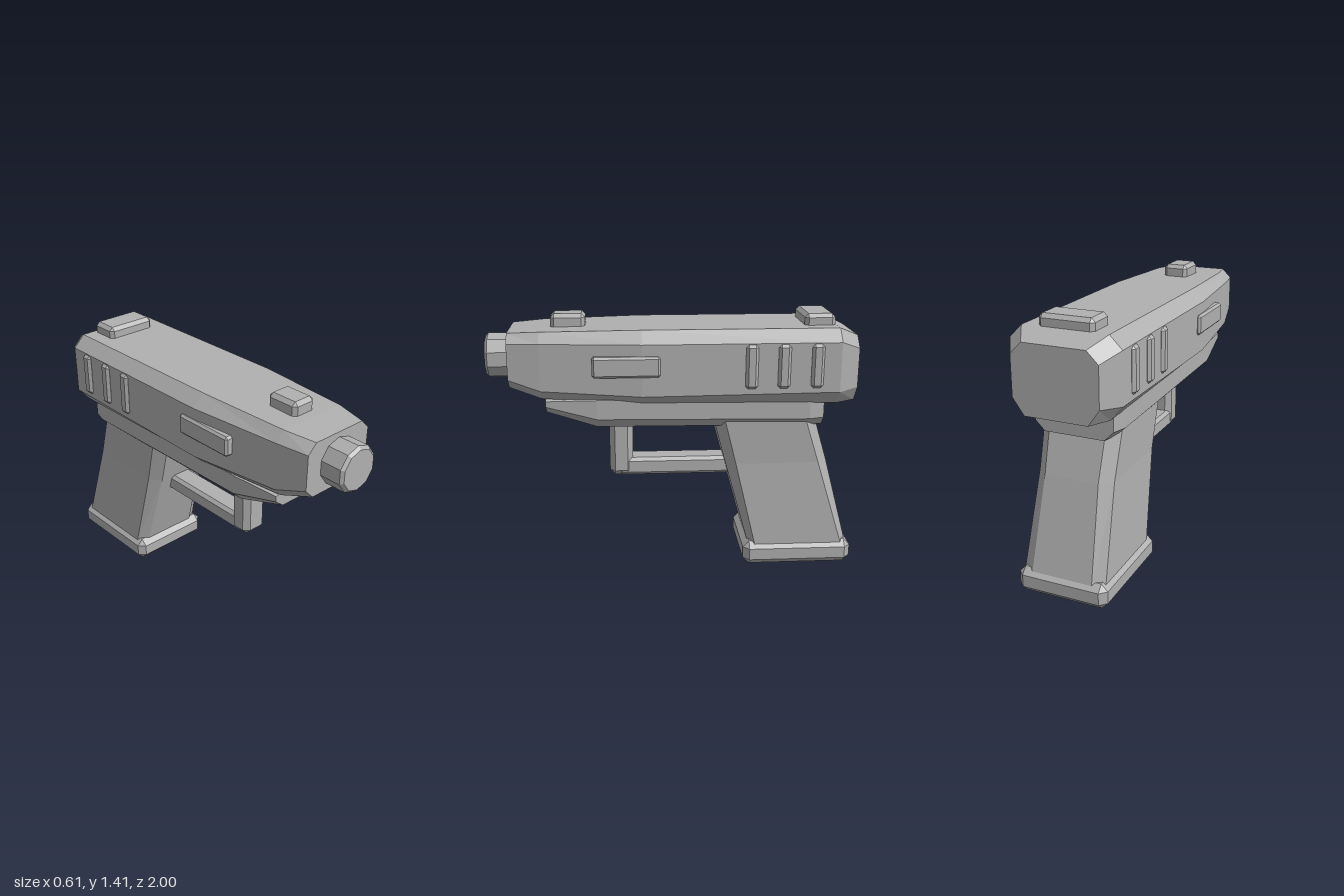
import * as THREE from 'three';
import { ConvexGeometry } from 'three/addons/geometries/ConvexGeometry.js';

// Octagonal section: a rectangle with cut corners (cu wide, c0 low corners, c1 high corners)
function octagon(u0, u1, v0, v1, cu, c0, c1) {
  return [
    [u0 + cu, v0], [u1 - cu, v0], [u1, v0 + c0], [u1, v1 - c1],
    [u1 - cu, v1], [u0 + cu, v1], [u0, v1 - c1], [u0, v0 + c0],
  ];
}

// Skin a list of { s, pts } sections and close both ends, flat shaded
function loft(sections, place) {
  const rings = sections.map(({ s, pts }) => pts.map(([u, v]) => place(u, v, s)));
  const pos = [];
  const tri = (...p) => p.forEach((q) => pos.push(...q));
  const n = rings[0].length;
  for (let r = 0; r < rings.length - 1; r++) {
    for (let i = 0; i < n; i++) {
      const j = (i + 1) % n;
      const [a, b, c, d] = [rings[r][i], rings[r][j], rings[r + 1][j], rings[r + 1][i]];
      tri(a, b, c);
      tri(a, c, d);
    }
  }
  const last = rings[rings.length - 1];
  for (let i = 1; i < n - 1; i++) {
    tri(rings[0][0], rings[0][i + 1], rings[0][i]);
    tri(last[0], last[i], last[i + 1]);
  }
  const g = new THREE.BufferGeometry();
  g.setAttribute('position', new THREE.Float32BufferAttribute(pos, 3));
  g.computeVertexNormals();
  return g;
}

// Box with every edge chamfered, given by its extents
function chamferBox(x0, x1, y0, y1, z0, z1, c) {
  const h = [(x1 - x0) / 2, (y1 - y0) / 2, (z1 - z0) / 2];
  const pts = [];
  for (const x of [-1, 1]) for (const y of [-1, 1]) for (const z of [-1, 1]) {
    for (let full = 0; full < 3; full++) {
      const p = [x, y, z].map((s, k) => s * (k === full ? h[k] : h[k] - c));
      pts.push(new THREE.Vector3(...p));
    }
  }
  return new ConvexGeometry(pts).translate((x0 + x1) / 2, (y0 + y1) / 2, (z0 + z1) / 2);
}

export function createModel() {
  const model = new THREE.Group();
  const grey = new THREE.MeshStandardMaterial({ color: 0xb0b0b0 });
  grey.name = 'grey';
  const add = (name, geometry) => {
    const mesh = new THREE.Mesh(geometry, grey);
    mesh.name = name;
    model.add(mesh);
    return mesh;
  };
  const alongZ = (u, v, s) => [u, v, s];
  const alongY = (u, v, s) => [v, s, u];

  // Slide: z, half width, bottom, top, corner width, low and high corner heights
  const slide = [
    [-0.98, 0.225, 0.945, 1.30, 0.06, 0.085, 0.06],
    [-0.87, 0.29, 0.945, 1.35, 0.065, 0.075, 0.065],
    [0.17, 0.29, 0.955, 1.35, 0.065, 0.055, 0.065],
    [0.70, 0.24, 0.985, 1.34, 0.045, 0.05, 0.055],
    [0.87, 0.21, 1.04, 1.33, 0.05, 0.05, 0.05],
  ];
  add('slide', loft(slide.map(([s, w, b, t, cu, c0, c1]) =>
    ({ s, pts: octagon(-w, w, b, t, cu, c0, c1) })), alongZ));

  // Frame under the slide
  const frame = [
    [-0.81, 0.21, 0.81, 1.0, 0.05, 0.05],
    [-0.73, 0.235, 0.81, 1.0, 0.055, 0.05],
    [0.41, 0.235, 0.82, 1.0, 0.055, 0.055],
    [0.68, 0.205, 0.9, 0.99, 0.05, 0.04],
  ];
  add('frame', loft(frame.map(([s, w, b, t, cu, c]) =>
    ({ s, pts: octagon(-w, w, b, t, cu, c, 0.02) })), alongZ));

  // Raked grip: y, back z, front z, half width, corner depth
  const grip = [
    [0.10, -0.985, -0.425, 0.225, 0.035],
    [0.60, -0.85, -0.285, 0.205, 0.055],
    [0.97, -0.735, -0.185, 0.215, 0.06],
  ];
  add('grip', loft(grip.map(([s, back, front, w, c]) =>
    ({ s, pts: octagon(back, front, -w, w, c, 0.06, 0.06) })), alongY));
  add('gripBase', chamferBox(-0.245, 0.245, 0, 0.135, -1, -0.39, 0.035));

  // Trigger guard
  add('guardPost', chamferBox(-0.075, 0.075, 0.495, 0.84, 0.22, 0.35, 0.03));
  add('guardBar', chamferBox(-0.07, 0.07, 0.495, 0.595, -0.34, 0.3, 0.018));

  // Ten-sided muzzle with a thin bevelled rim
  const muzzle = [[0.8, 0.123], [0.985, 0.123], [1, 0.107]].map(([s, r]) => ({
    s,
    pts: Array.from({ length: 10 }, (_, i) => {
      const a = Math.PI / 2 + (i * Math.PI) / 5;
      return [r * Math.cos(a), 1.18 + r * Math.sin(a)];
    }),
  }));
  add('muzzle', loft(muzzle, alongZ));

  // Sights
  add('frontSight', chamferBox(-0.07, 0.07, 1.32, 1.41, 0.465, 0.65, 0.02));
  add('rearSight', chamferBox(-0.145, 0.145, 1.32, 1.41, -0.865, -0.70, 0.02));

  // Raised plates and ribs on both sides
  for (const [side, k] of [['left', 1], ['right', -1]]) {
    const x0 = Math.min(k * 0.25, k * 0.306);
    const x1 = Math.max(k * 0.25, k * 0.306);
    add(side + 'Panel', chamferBox(x0, x1, 1.115, 1.225, 0.075, 0.43, 0.012));
    for (const z of [-0.4, -0.57, -0.745]) {
      add(side + 'Rib', chamferBox(x0, x1, 1.045, 1.28, z - 0.033, z + 0.033, 0.015));
    }
  }
  return model;
}
